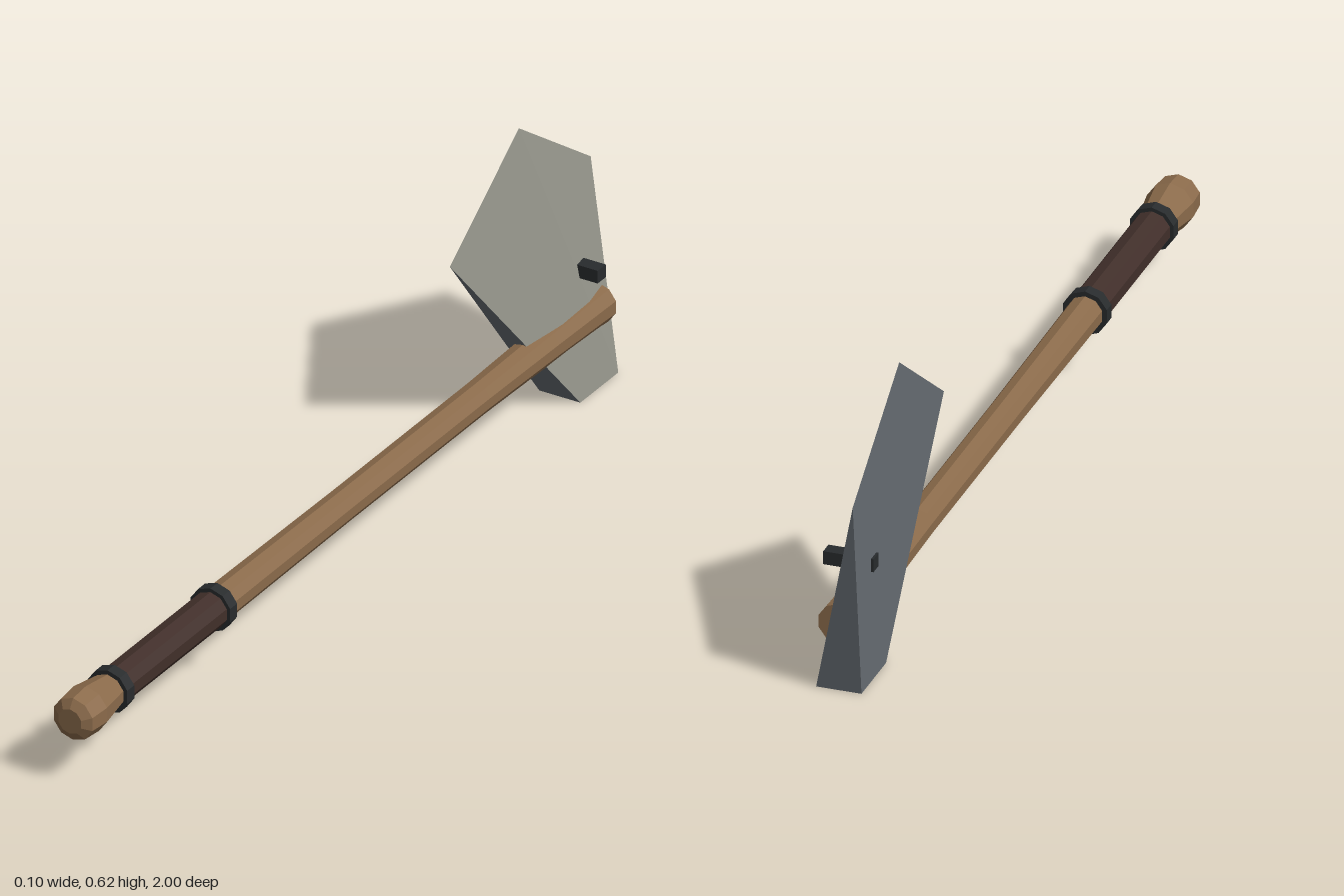
import * as THREE from 'three';

const SIDES = 10;
const AXIS_Y = 0.143;

function material(name, color) {
  const m = new THREE.MeshStandardMaterial({ color });
  m.name = name;
  return m;
}

// Flat facets: every triangle keeps its own normal
function faceted(geometry) {
  const g = geometry.index ? geometry.toNonIndexed() : geometry;
  g.computeVertexNormals();
  return g;
}

// Ten-sided turned part along z, from [z, radius] pairs with z rising
function turned(profile) {
  const points = profile.map(([z, r]) => new THREE.Vector2(r, z));
  return faceted(new THREE.LatheGeometry(points, SIDES).rotateX(Math.PI / 2).translate(0, AXIS_Y, 0));
}

// Geometry from triangles of corner points
function triangles(list) {
  const g = new THREE.BufferGeometry();
  g.setAttribute('position', new THREE.Float32BufferAttribute(list.flat(2), 3));
  return faceted(g);
}

export function createModel() {
  const group = new THREE.Group();
  group.name = 'axe';
  const wood = material('wood', 0x8b6b4b);
  const leather = material('leather', 0x412f2a);
  const iron = material('blackIron', 0x282b2d);
  const steel = material('darkSteel', 0x666c72);
  const ground = material('groundSteel', 0x94948a);

  const add = (name, geometry, mat) => {
    const mesh = new THREE.Mesh(geometry, mat);
    mesh.name = name;
    group.add(mesh);
  };

  // Shaft, thinner in the middle and flared at the head
  add('shaft', turned([[-0.95, 0], [-0.95, 0.043], [-0.75, 0.038], [-0.5, 0.034],
    [0, 0.034], [0.47, 0.037], [0.47, 0]]), wood);

  // Grip wrap with a ring at each end
  add('grip', turned([[0.46, 0], [0.46, 0.039], [0.86, 0.039], [0.86, 0]]), leather);
  for (const [name, z] of [['upperRing', 0.468], ['lowerRing', 0.848]]) {
    add(name, turned([[z - 0.013, 0], [z - 0.013, 0.047], [z + 0.013, 0.047], [z + 0.013, 0]]), iron);
  }

  // Pommel
  add('pommel', turned([[0.85, 0], [0.85, 0.036], [0.94, 0.05], [0.988, 0.046], [1, 0.027], [1, 0]]), wood);

  // Blade: flat on one side, tapering from a thick poll to a sharp pointed edge
  const flat = -0.047, thick = 0.046;
  const tip = [flat, 0.615, -0.735];
  const front = [flat, 0.43, -0.48];
  const back = [flat, 0.427, -1];
  const pollFront = [flat, 0, -0.81], pollFrontOut = [thick, 0, -0.81];
  const pollBack = [flat, 0, -0.95], pollBackOut = [thick, 0, -0.95];

  add('bladeBevel', triangles([
    [front, pollFrontOut, tip],
    [pollFrontOut, pollBackOut, tip],
    [pollBackOut, back, tip],
  ]), ground);
  add('bladeBody', triangles([
    [front, tip, back], [front, back, pollBack], [front, pollBack, pollFront],
    [front, pollFront, pollFrontOut],
    [back, pollBackOut, pollBack],
    [pollFront, pollBack, pollBackOut], [pollFront, pollBackOut, pollFrontOut],
  ]), steel);

  // Square pin through the blade
  add('pin', new THREE.BoxGeometry(0.103, 0.028, 0.03).translate(-0.0005, 0.252, -0.881), iron);

  return group;
}
